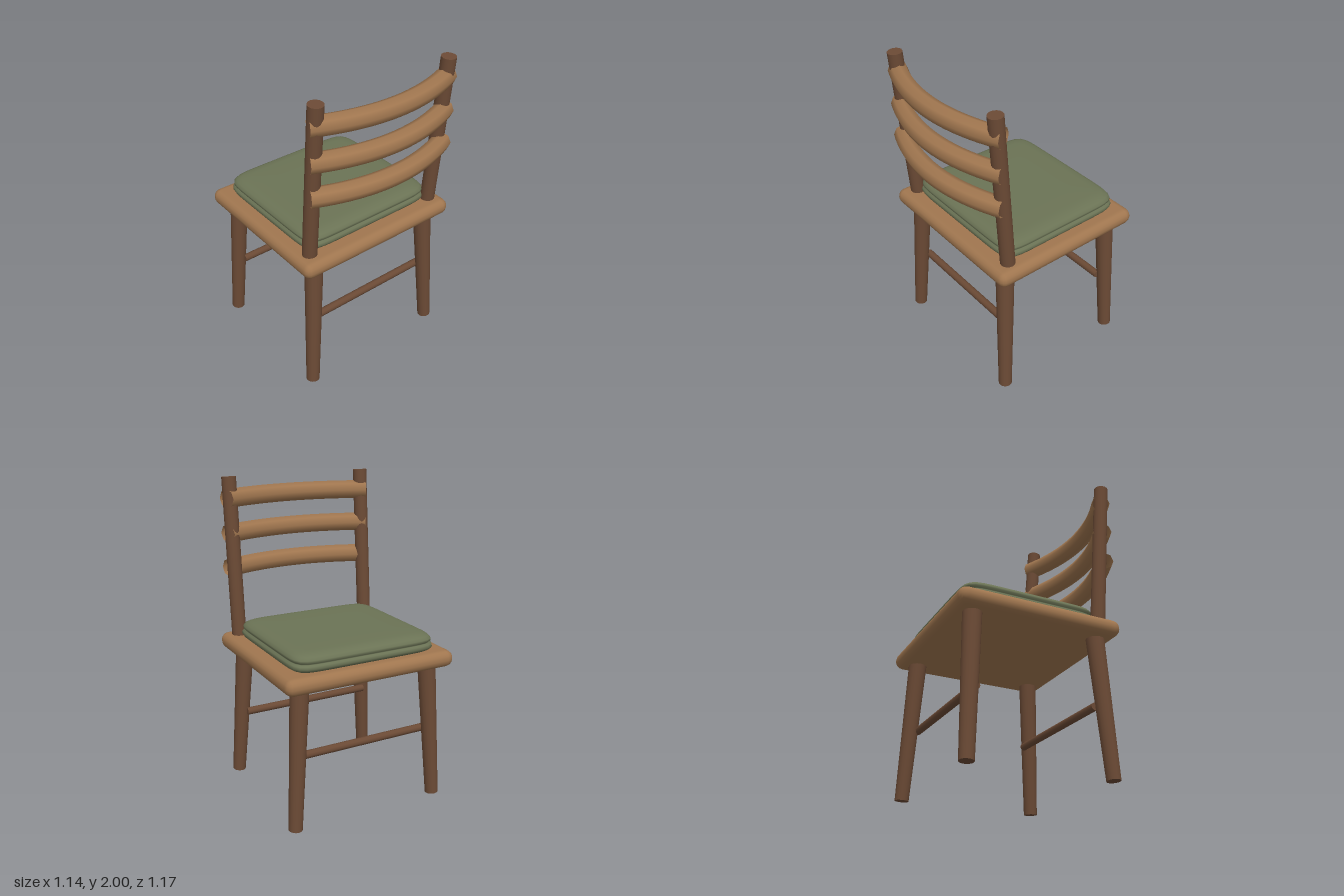
import * as THREE from 'three';
import { RoundedBoxGeometry } from 'three/addons/geometries/RoundedBoxGeometry.js';
import { mergeVertices } from 'three/addons/utils/BufferGeometryUtils.js';

const darkWood = new THREE.MeshStandardMaterial({ color: 0x6b4a35 });
const lightWood = new THREE.MeshStandardMaterial({ color: 0xa0764f });
const railWood = lightWood.clone();
railWood.side = THREE.DoubleSide;
const fabric = new THREE.MeshStandardMaterial({ color: 0x6b7355 });

const V = (x, y, z) => new THREE.Vector3(x, y, z);

// Round bar between two points, r0 at a and r1 at b
function bar(name, a, b, r0, r1, sides = 16) {
  const dir = b.clone().sub(a);
  const mesh = new THREE.Mesh(new THREE.CylinderGeometry(r1, r0, dir.length(), sides), darkWood);
  mesh.position.copy(a).add(b).multiplyScalar(0.5);
  mesh.quaternion.setFromUnitVectors(V(0, 1, 0), dir.normalize());
  mesh.name = name;
  return mesh;
}

// Puffed square pad: a lathe profile whose rings are squared off
function cushionGeometry(halfX, halfZ) {
  const profile = [
    [0, 0.985], [0.95, 0.988], [0.985, 1.0], [1, 1.015], [0.992, 1.03], [0.965, 1.037],
    [0.965, 1.043], [0.985, 1.052], [0.982, 1.064], [0.955, 1.08], [0.9, 1.092], [0.8, 1.098], [0.5, 1.1], [0, 1.1],
  ].map(([r, y]) => new THREE.Vector2(r, y));
  const geo = new THREE.LatheGeometry(profile, 96);
  const p = geo.attributes.position;
  const n = 10;
  for (let i = 0; i < p.count; i++) {
    const x = p.getX(i), z = p.getZ(i), r = Math.hypot(x, z);
    if (r < 1e-6) continue;
    const c = Math.abs(x / r), s = Math.abs(z / r);
    const k = 1 / Math.pow(c ** n + s ** n, 1 / n);
    p.setX(i, x * k * halfX);
    p.setZ(i, z * k * halfZ);
  }
  geo.deleteAttribute('uv');
  geo.deleteAttribute('normal');
  const merged = mergeVertices(geo, 1e-4);
  merged.computeVertexNormals();
  return merged;
}

export function createModel() {
  const chair = new THREE.Group();
  chair.name = 'chair';

  // Seat board
  const seat = new THREE.Mesh(new RoundedBoxGeometry(1.14, 0.106, 1.06, 2, 0.052), lightWood);
  seat.position.set(0, 0.938, -0.06);
  seat.name = 'seat';
  chair.add(seat);

  // Seat pad
  const cushion = new THREE.Mesh(cushionGeometry(0.485, 0.45), fabric);
  cushion.position.z = -0.08;
  cushion.name = 'cushion';
  chair.add(cushion);

  // Splayed legs and leaning back posts
  for (const s of [-1, 1]) {
    const side = s > 0 ? 'left' : 'right';
    chair.add(bar(side + 'SeatEndLeg', V(s * 0.495, 0.003, -0.503), V(s * 0.438, 0.92, -0.465), 0.043, 0.058));
    chair.add(bar(side + 'BackrestLeg', V(s * 0.495, 0.003, 0.393), V(s * 0.438, 0.92, 0.35), 0.043, 0.058));
    chair.add(bar(side + 'BackPost', V(s * 0.473, 0.95, 0.354), V(s * 0.473, 1.997, 0.438), 0.046, 0.046));
  }

  // Stretchers
  for (const z of [-0.437, 0.323]) {
    chair.add(bar('stretcher', V(-0.45, 0.447, z), V(0.45, 0.447, z), 0.025, 0.025, 10));
  }

  // Bowed back rails
  for (const y of [1.425, 1.645, 1.865]) {
    const curve = new THREE.QuadraticBezierCurve3(V(-0.502, y, 0.41), V(0, y, 0.638), V(0.502, y, 0.41));
    const rail = new THREE.Mesh(new THREE.TubeGeometry(curve, 24, 0.06, 8), railWood);
    rail.name = 'backRail';
    chair.add(rail);
  }

  return chair;
}
